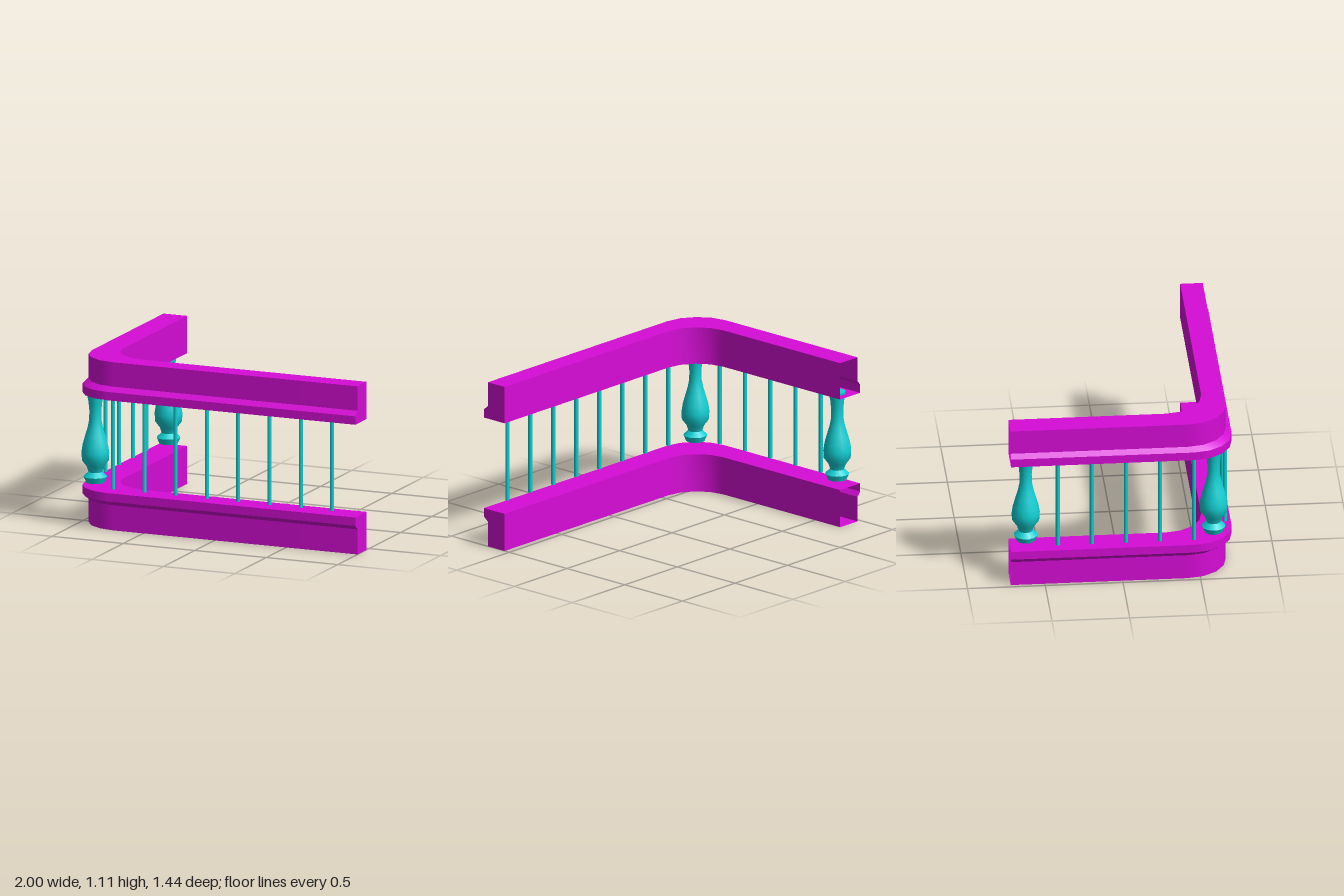
import * as THREE from 'three';

const railMat = new THREE.MeshStandardMaterial({ color: 0xd60cd6, side: THREE.DoubleSide });
const barMat = new THREE.MeshStandardMaterial({ color: 0x10d0d4 });

// Plan lines of the rail: side x, front z and corner radius
const LINES = {
  inner: { x: -0.81, z: 0.54, r: 0.25 },
  main: { x: -0.975, z: 0.685, r: 0.265 },
  ledge: { x: -1, z: 0.72, r: 0.26 },
};
const BACK = -0.72, END = 1, STEPS = 4;

// L-shaped path with a rounded corner, from the back end to the +x end
function planPath({ x, z, r }) {
  const path = [[x, BACK]];
  for (let i = 0; i <= STEPS; i++) {
    const a = (i / STEPS) * Math.PI / 2;
    path.push([x + r - r * Math.cos(a), z - r + r * Math.sin(a)]);
  }
  path.push([END, z]);
  return path;
}

// Sweeps a profile of [line, y] points; each profile edge is its own smooth strip
function makeRail(name, profile) {
  const rail = new THREE.Group();
  rail.name = name;
  profile.forEach(([lineA, yA], j) => {
    const [lineB, yB] = profile[(j + 1) % profile.length];
    const a = planPath(LINES[lineA]), b = planPath(LINES[lineB]);
    const pos = [], index = [];
    for (let i = 0; i < a.length; i++) {
      pos.push(a[i][0], yA, a[i][1], b[i][0], yB, b[i][1]);
      if (i < a.length - 1) {
        const k = 2 * i;
        index.push(k, k + 2, k + 1, k + 1, k + 2, k + 3);
      }
    }
    const geo = new THREE.BufferGeometry();
    geo.setAttribute('position', new THREE.Float32BufferAttribute(pos, 3));
    geo.setIndex(index);
    geo.computeVertexNormals();
    const strip = new THREE.Mesh(geo, railMat);
    strip.name = name + 'Face';
    rail.add(strip);
  });
  // Closed at the +x end, open at the back
  const section = new THREE.Shape(profile.map(([line, y]) => new THREE.Vector2(-LINES[line].z, y)));
  const cap = new THREE.Mesh(new THREE.ShapeGeometry(section).rotateY(Math.PI / 2), railMat);
  cap.position.x = END;
  cap.name = name + 'EndCap';
  rail.add(cap);
  return rail;
}

export function createModel() {
  const model = new THREE.Group();
  model.name = 'cornerRailing';

  model.add(makeRail('bottomRail', [
    ['inner', 0], ['main', 0], ['main', 0.165], ['ledge', 0.195], ['ledge', 0.25], ['inner', 0.25],
  ]));
  model.add(makeRail('topRail', [
    ['inner', 0.86], ['ledge', 0.86], ['ledge', 0.915], ['main', 0.945], ['main', 1.105], ['inner', 1.105],
  ]));

  // Thin upright bars along the front and the side
  const barGeo = new THREE.CylinderGeometry(0.0135, 0.0135, 0.59, 8);
  const addBar = (x, z) => {
    const bar = new THREE.Mesh(barGeo, barMat);
    bar.name = 'bar';
    bar.position.set(x, 0.565, z);
    model.add(bar);
  };
  for (let i = 0; i < 8; i++) addBar(-0.713 + i * 0.219, 0.68);
  for (let i = 0; i < 5; i++) addBar(-0.96, 0.46 - i * 0.219);

  // Turned balusters: faceted foot, then a smooth vase body
  const turned = (points) => new THREE.LatheGeometry(points.map(([r, y]) => new THREE.Vector2(r, y)), 14);
  const foot = [[0, 0.283], [0.06, 0.283], [0.077, 0.322], [0.045, 0.352]];
  const footParts = foot.slice(1).map((p, i) => turned([foot[i], p]));
  const body = turned([
    [0.045, 0.352], [0.058, 0.39], [0.088, 0.43], [0.091, 0.48], [0.083, 0.53], [0.066, 0.59],
    [0.051, 0.64], [0.041, 0.69], [0.039, 0.75], [0.045, 0.81], [0.054, 0.86], [0.055, 0.875],
  ]);
  const top = turned([[0.055, 0.875], [0, 0.875]]);
  for (const [x, z] of [[-0.875, 0.593], [-0.895, -0.617]]) {
    const baluster = new THREE.Group();
    baluster.name = 'baluster';
    for (const geo of [...footParts, body, top]) {
      const part = new THREE.Mesh(geo, barMat);
      part.name = geo === body ? 'balusterBody' : geo === top ? 'balusterTop' : 'balusterFoot';
      baluster.add(part);
    }
    baluster.position.set(x, 0, z);
    model.add(baluster);
  }
  return model;
}
